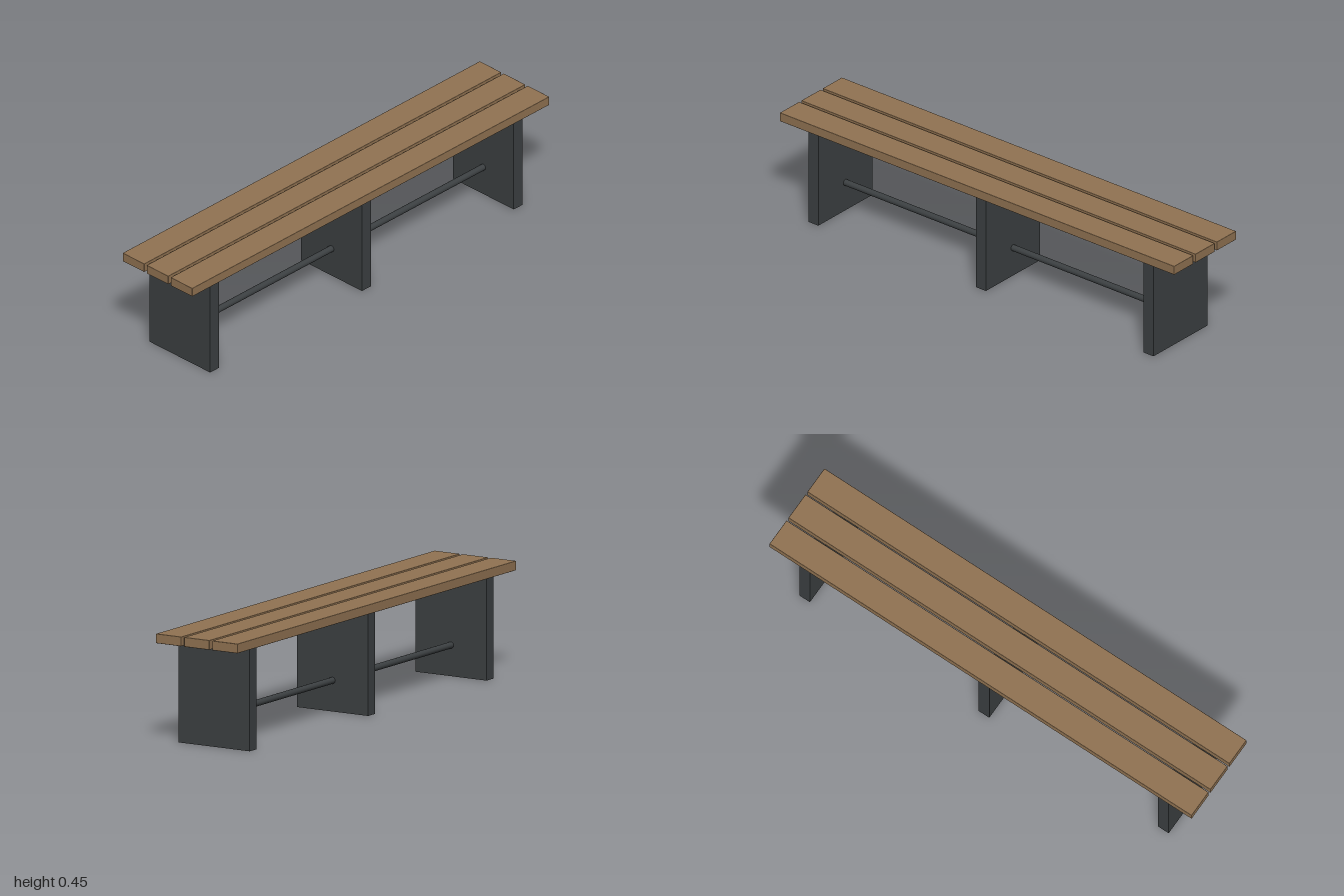
import * as THREE from 'three';
import { RoundedBoxGeometry } from 'three/addons/geometries/RoundedBoxGeometry.js';

export function createModel() {
  const bench = new THREE.Group();
  bench.name = 'bench';
  const wood = new THREE.MeshStandardMaterial({ color: 0x917352 });
  const metal = new THREE.MeshStandardMaterial({ color: 0x3c4042 });

  const add = (name, geometry, material, x, y, z) => {
    const mesh = new THREE.Mesh(geometry, material);
    mesh.name = name;
    mesh.position.set(x, y, z);
    bench.add(mesh);
    return mesh;
  };

  // Three seat planks with finely eased edges
  const plank = new RoundedBoxGeometry(2, 0.038, 0.118, 1, 0.002);
  for (const z of [-0.131, 0, 0.131]) add('seatPlank', plank, wood, 0, 0.432, z);

  // Three slab legs
  const leg = new THREE.BoxGeometry(0.05, 0.413, 0.332);
  for (const x of [-0.85, 0, 0.85]) add('leg', leg, metal, x, 0.2065, 0);

  // Round stretcher bars between the legs
  const bar = new THREE.CylinderGeometry(0.013, 0.013, 0.8, 16);
  for (const side of [-1, 1]) {
    add('stretcherBar', bar, metal, side * 0.425, 0.124, 0).rotation.z = Math.PI / 2;
  }

  return bench;
}
